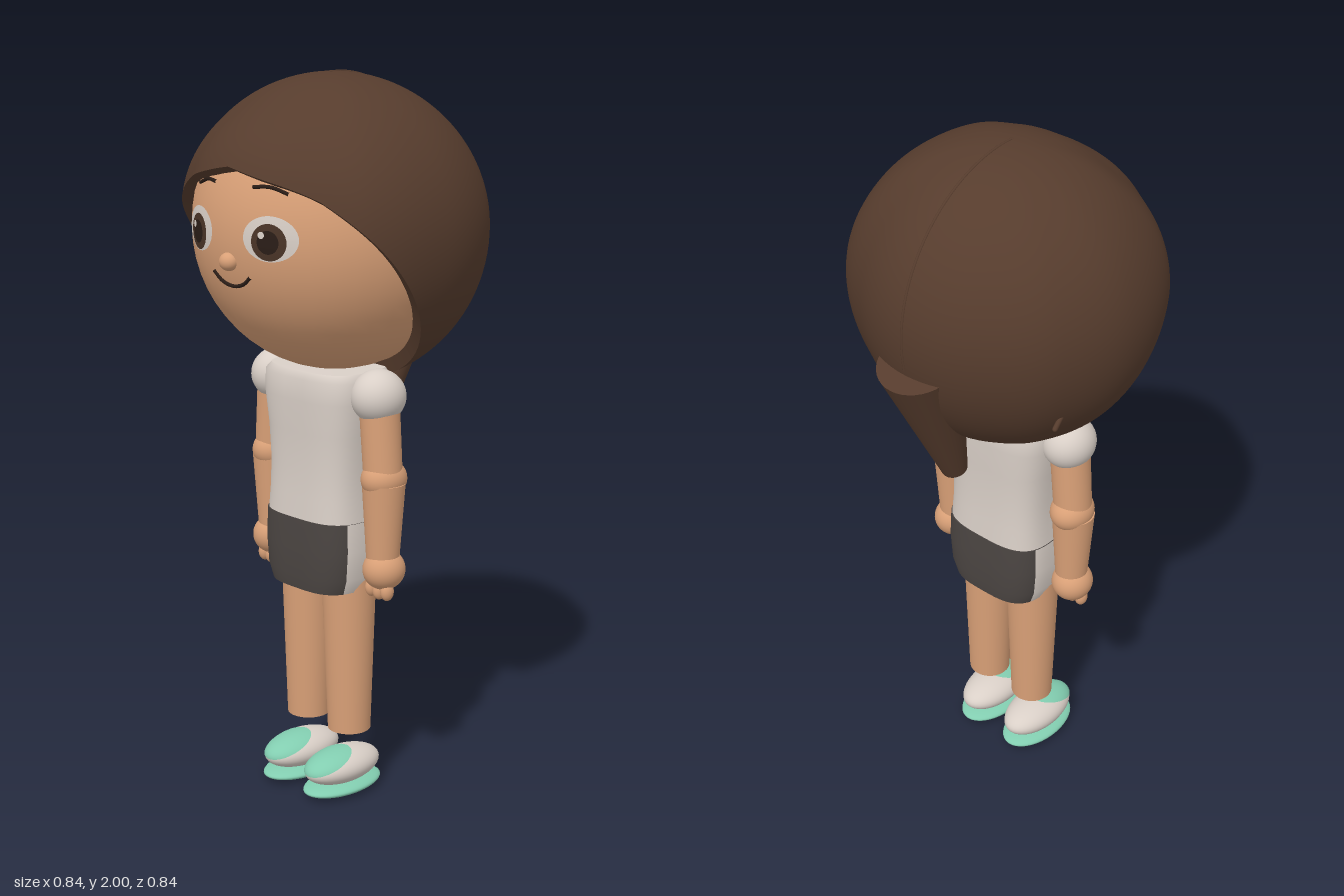
import * as THREE from 'three';

const mat = (name, color) => Object.assign(new THREE.MeshStandardMaterial({ color }), { name });

export function createModel() {
  const model = new THREE.Group();
  model.name = 'child';
  const M = {
    hair: mat('hair brown', 0x563c2d),
    skin: mat('skin', 0xd9a077),
    white: mat('off white', 0xd9cfc7),
    shorts: mat('charcoal', 0x4b4542),
    green: mat('mint green', 0x82cdb0),
    iris: mat('iris brown', 0x4a3427),
    dark: mat('dark line', 0x2a1d17),
  };

  const add = (name, geo, material, x = 0, y = 0, z = 0, parent = model) => {
    const m = new THREE.Mesh(geo, material);
    m.name = name;
    m.position.set(x, y, z);
    parent.add(m);
    return m;
  };
  const ball = (rx, ry = rx, rz = rx) => new THREE.SphereGeometry(1, 40, 28).scale(rx, ry, rz);

  // Closed band of quads: point(i, j) for each row i and column j; group(i, j) picks a material
  const grid = (rows, cols, point, group = () => 0) => {
    const pos = [], faces = [[], []];
    for (let i = 0; i <= rows; i++) for (let j = 0; j < cols; j++) pos.push(...point(i, j));
    for (let i = 0; i < rows; i++) for (let j = 0; j < cols; j++) {
      const k = (j + 1) % cols, a = i * cols, b = a + cols;
      faces[group(i, j)].push(a + j, b + j, a + k, b + j, b + k, a + k);
    }
    const g = new THREE.BufferGeometry();
    g.setAttribute('position', new THREE.Float32BufferAttribute(pos, 3));
    g.setIndex([...faces[0], ...faces[1]]);
    g.addGroup(0, faces[0].length, 0);
    g.addGroup(faces[0].length, faces[1].length, 1);
    g.computeVertexNormals();
    return g;
  };

  // Head
  const C = new THREE.Vector3(0, 1.6, 0.02);
  add('head', ball(0.385, 0.39, 0.38), M.skin, C.x, C.y, C.z);
  const faceZ = (x, y) => C.z + 0.38 * Math.sqrt(1 - (x / 0.385) ** 2 - ((y - C.y) / 0.39) ** 2);

  // Thin discs and lines that follow the face
  const disc = (name, x, y, rx, ry, lift, material) => {
    const g = new THREE.RingGeometry(0, 1, 36, 5).scale(rx, ry, 1).translate(x, y, 0);
    const p = g.attributes.position;
    for (let i = 0; i < p.count; i++) p.setZ(i, faceZ(p.getX(i), p.getY(i)) + lift);
    g.computeVertexNormals();
    add(name, g, material);
  };
  const line = (name, pts, r) => {
    const curve = new THREE.CatmullRomCurve3(pts.map(([x, y]) => new THREE.Vector3(x, y, faceZ(x, y) + 0.001)));
    add(name, new THREE.TubeGeometry(curve, 24, r, 8), M.dark);
  };
  for (const s of [-1, 1]) {
    disc('eyeWhite', s * 0.134, 1.61, 0.074, 0.058, 0.003, M.white);
    disc('iris', s * 0.134, 1.602, 0.047, 0.047, 0.005, M.iris);
    disc('pupil', s * 0.134, 1.602, 0.029, 0.03, 0.007, M.dark);
    disc('eyeGlint', s * 0.134 - 0.016, 1.62, 0.009, 0.009, 0.009, M.white);
    line('eyebrow', [[s * 0.17, 1.722], [s * 0.12, 1.737], [s * 0.07, 1.735]], 0.005);
  }
  line('mouth', [[-0.07, 1.507], [-0.04, 1.484], [0, 1.475], [0.04, 1.484], [0.07, 1.507]], 0.005);
  add('nose', ball(0.027, 0.024, 0.024), M.skin, 0, 1.54, 0.395);

  // Hair: lobed cap around a tilted axis, with a scalloped fringe and an inner rim
  const lobes = [0.42, 0.43, 0.394, 0.385, 0.39, 0.42, 0.42, 0.41, 0.396, 0.394, 0.39, 0.418];
  const hairPoint = (d, k = 1) => {
    const t = ((Math.atan2(d.z, d.x) / (2 * Math.PI) + 1) % 1) * 12, i = Math.floor(t);
    const f = (1 - Math.cos((t - i) * Math.PI)) / 2;
    const r = lobes[i % 12] * (1 - f) + lobes[(i + 1) % 12] * f;
    const ry = d.y > 0 ? 0.4 : 0.43;
    const R = k / Math.sqrt((d.x ** 2 + d.z ** 2) / r ** 2 + (d.y / ry) ** 2);
    return C.clone().addScaledVector(d, R);
  };
  const axis = new THREE.Vector3(0, 0.605, -0.796), fore = new THREE.Vector3(0, 0.796, 0.605);
  const N = 44, COLS = 144;
  add('hair', grid(N + 2, COLS, (i, j) => {
    const phi = (j / COLS) * 2 * Math.PI, q = Math.min(phi, 2 * Math.PI - phi);
    const front = Math.exp(-((q / 0.75) ** 2));
    const edge = 1.96 + 0.09 * Math.cos(phi) ** 2 + 0.035 * front * (Math.abs(Math.sin(4 * q)) - 0.3);
    const t = Math.min(i / N, 1), u = t * edge;
    const d = axis.clone().multiplyScalar(Math.cos(u))
      .addScaledVector(fore, Math.sin(u) * Math.cos(phi));
    d.x = Math.sin(u) * Math.sin(phi);
    const flare = 1 + 0.07 * front * THREE.MathUtils.smoothstep(t, 0.72, 1);
    return hairPoint(d, i > N + 1 ? 0.9 : flare).toArray();
  }), [M.hair, M.hair]);

  // Parting seam down the back
  const seam = [];
  for (let i = 0; i <= 14; i++) {
    const t = -0.05 + i * 0.13;
    seam.push(hairPoint(new THREE.Vector3(0, Math.cos(t), -Math.sin(t)), 0.998));
  }
  add('parting', new THREE.TubeGeometry(new THREE.CatmullRomCurve3(seam), 50, 0.004, 8), M.hair);
  add('crown', ball(0.009, 0.006, 0.009), M.hair, 0, 1.994, 0.042);

  // Ponytail: tapered cone leaning in towards the neck
  const tail = add('ponytail', new THREE.CylinderGeometry(0.11, 0.036, 0.424, 40), M.hair, 0, 1.318, -0.252);
  tail.rotation.x = -0.3;

  // Small loose strand on the right side
  const strandAt = hairPoint(new THREE.Vector3(-0.77, -0.46, -0.4).normalize(), 0.995);
  const strand = add('strand', new THREE.CapsuleGeometry(0.007, 0.06, 4, 10), M.hair, ...strandAt.toArray());
  strand.rotation.x = 0.75;

  // Torso and shorts: rounded-rectangle sections [y, halfWidth, halfDepth]
  const body = (sections, group) => grid(sections.length - 1, 72, (i, j) => {
    const a = (j / 72) * 2 * Math.PI, [y, hx, hz] = sections[i], e = 2 / 3.2;
    const c = Math.cos(a), s = Math.sin(a);
    return [hx * Math.sign(c) * Math.abs(c) ** e, y, 0.045 + hz * Math.sign(s) * Math.abs(s) ** e];
  }, group);
  add('shirt', body([
    [0.8, 0.162, 0.129], [0.87, 0.156, 0.125], [0.95, 0.155, 0.121], [1.05, 0.161, 0.124],
    [1.14, 0.172, 0.13], [1.2, 0.172, 0.128], [1.22, 0.155, 0.115], [1.22, 0.155, 0.115], [1.222, 0, 0],
  ]), [M.white, M.white]);
  // White side panels between the dark front and back
  add('shorts', body([
    [0.608, 0, 0], [0.608, 0.144, 0.126], [0.608, 0.144, 0.126], [0.65, 0.16, 0.132], [0.73, 0.167, 0.134],
    [0.81, 0.164, 0.131], [0.81, 0.164, 0.131], [0.81, 0, 0],
  ], (i, j) => (i > 1 && i < 5 && Math.abs(Math.sin(((j + 0.5) / 72) * 2 * Math.PI)) < 0.45 ? 1 : 0)),
  [M.shorts, M.white]);

  // Tapered limb between two points
  const limb = (name, a, b, ra, rb, parent) => {
    const A = new THREE.Vector3(...a), B = new THREE.Vector3(...b);
    const m = add(name, new THREE.CylinderGeometry(ra, rb, A.distanceTo(B), 36), M.skin, 0, 0, 0, parent);
    m.position.copy(A).add(B).multiplyScalar(0.5);
    m.quaternion.setFromUnitVectors(new THREE.Vector3(0, 1, 0), A.sub(B).normalize());
  };

  for (const s of [-1, 1]) {
    const side = s > 0 ? 'left' : 'right';

    // Arm
    const arm = new THREE.Group();
    arm.name = side + 'Arm';
    model.add(arm);
    add('sleeve', ball(0.072, 0.073, 0.078), M.white, s * 0.197, 1.163, 0.05, arm);
    limb('upperArm', [s * 0.2, 1.16, 0.05], [s * 0.216, 0.95, 0.05], 0.055, 0.053, arm);
    add('elbow', ball(0.058, 0.055, 0.067), M.skin, s * 0.217, 0.94, 0.047, arm);
    limb('forearm', [s * 0.219, 0.93, 0.05], [s * 0.217, 0.7, 0.05], 0.059, 0.044, arm);
    add('hand', ball(0.057, 0.056, 0.06), M.skin, s * 0.222, 0.687, 0.05, arm);
    for (const f of [-1, 0, 1]) {
      add('finger', ball(0.017, 0.026, 0.02), M.skin, s * 0.217 + f * 0.029, 0.628 + Math.abs(f) * 0.003, 0.062, arm);
    }

    // Leg
    limb(side + 'Leg', [s * 0.081, 0.64, 0.045], [s * 0.083, 0.185, 0.045], 0.076, 0.06, model);

    // Shoe with coloured toe and sole
    const shoe = new THREE.Group();
    shoe.name = side + 'Shoe';
    shoe.position.set(s * 0.083, 0, 0.073);
    model.add(shoe);
    add('sole', ball(0.077, 0.021, 0.132), M.green, 0, 0.026, 0, shoe);
    add('upper', ball(0.073, 0.048, 0.128), M.white, 0, 0.081, 0, shoe);
    add('toePatch', new THREE.SphereGeometry(1, 40, 16, 0, Math.PI * 2, 0, 0.87)
      .rotateX(0.72).scale(0.0745, 0.0495, 0.13), M.green, 0, 0.081, 0, shoe);
  }
  return model;
}
